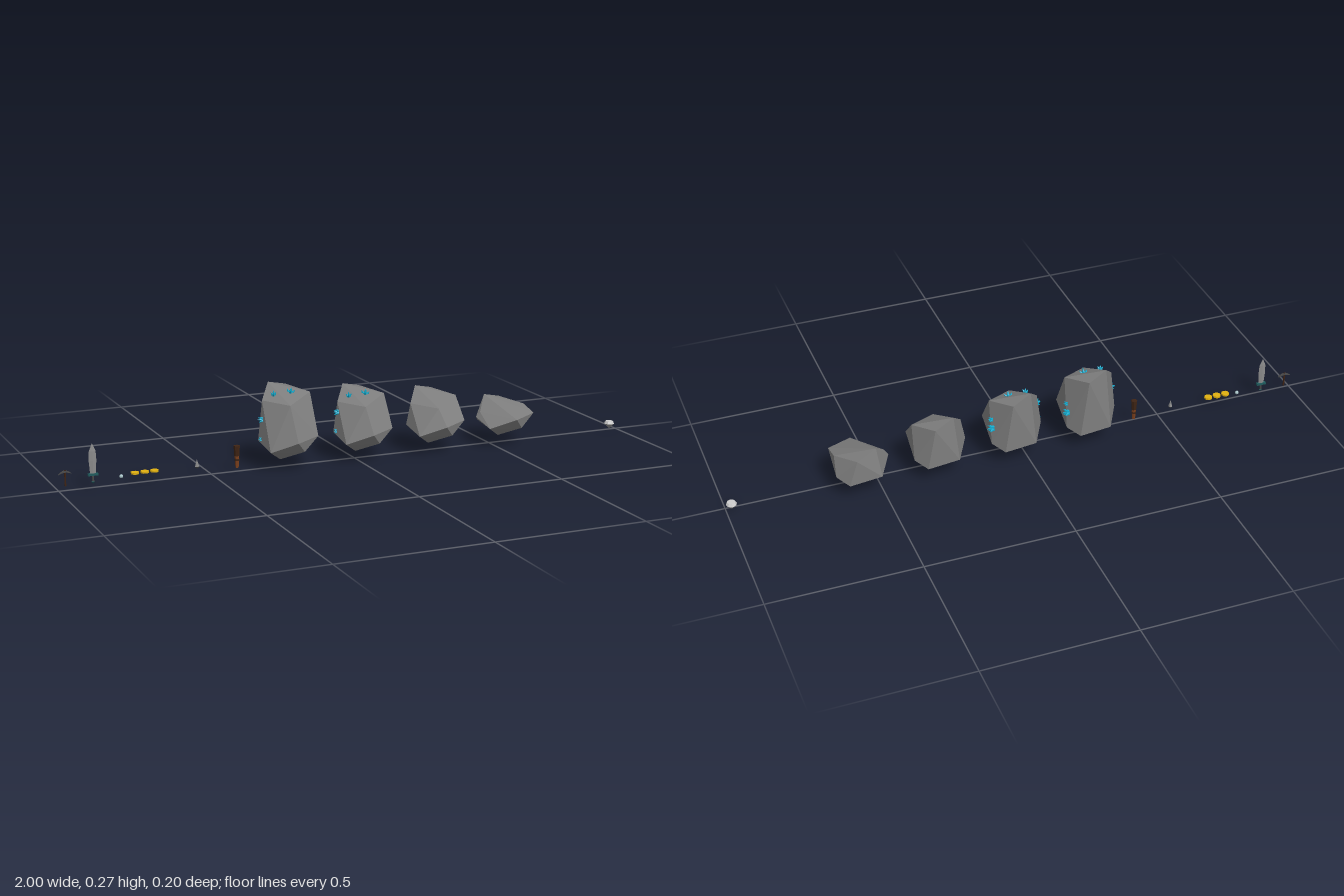
import * as THREE from 'three';
import { ConvexGeometry } from 'three/addons/geometries/ConvexGeometry.js';

const V = (x, y, z) => new THREE.Vector3(x, y, z);
const material = (color) => new THREE.MeshStandardMaterial({ color, flatShading: true });
const stone = material(0x7c7c7c), crystalBlue = material(0x0fa9cc), steel = material(0x8a8a8a);
const darkSteel = material(0x4a4a4a), wood = material(0x7a3f1c), darkWood = material(0x3f2414);
const gold = material(0xe0b010), teal = material(0x1f5a5c), pearl = material(0xa9c4c8), pale = material(0xcccccc);

function add(parent, name, geometry, mat, x = 0, y = 0, z = 0) {
  const mesh = new THREE.Mesh(geometry, mat);
  mesh.name = name;
  mesh.position.set(x, y, z);
  parent.add(mesh);
  return mesh;
}

function group(parent, name, x, y = 0, z = -0.008) {
  const g = new THREE.Group();
  g.name = name;
  g.position.set(x, y, z);
  parent.add(g);
  return g;
}

// Faceted boulder: a fixed base, with the crown lowered by "drop"
function rockGeometry(drop) {
  const base = [
    V(-0.04, 0.035, 0.04), V(0.03, 0.062, 0.08), V(0, 0.097, 0.102), V(0.085, 0.105, 0.06),
    V(-0.08, 0.064, 0.06), V(0.092, 0.068, -0.055), V(-0.093, 0.09, -0.02),
    V(0.06, 0.055, -0.1), V(-0.05, 0.06, -0.092)
  ];
  const crown = [
    V(-0.04, 0.27, -0.065), V(0.085, 0.237, -0.01), V(-0.01, 0.213, 0.057),
    V(-0.08, 0.222, -0.015), V(0.03, 0.252, -0.092)
  ];
  crown.forEach((p) => { p.y -= drop; });
  return new ConvexGeometry([...base, ...crown]);
}

// Cluster of short spikes fanning out around a direction
function crystalCluster(parent, position, direction, size) {
  const g = group(parent, 'crystalCluster', 0);
  g.position.copy(position);
  g.quaternion.setFromUnitVectors(V(0, 1, 0), direction.normalize());
  g.scale.setScalar(size);
  add(g, 'crystal', new THREE.ConeGeometry(0.008, 0.024, 5), crystalBlue, 0, 0.004, 0);
  for (let i = 0; i < 4; i++) {
    const a = i * Math.PI / 2 + 0.4;
    const c = add(g, 'crystal', new THREE.ConeGeometry(0.007, 0.018, 5), crystalBlue,
      Math.cos(a) * 0.009, 0.001, Math.sin(a) * 0.009);
    c.quaternion.setFromUnitVectors(V(0, 1, 0), V(Math.cos(a) * 0.6, 1, Math.sin(a) * 0.6).normalize());
  }
}

function rocks(root) {
  [[-0.238, 0, true], [0.026, 0.029, true], [0.291, 0.06, false], [0.553, 0.115, false]].forEach(([x, drop, ore]) => {
    const g = group(root, ore ? 'oreRock' : 'rock', x, 0, 0);
    add(g, 'boulder', rockGeometry(drop), stone);
    if (!ore) return;
    crystalCluster(g, V(-0.043, 0.243 - drop, -0.007), V(-0.2, 1, 0.3), 0.7);
    crystalCluster(g, V(0.018, 0.243 - drop, -0.012), V(0.1, 1, 0.3), 1);
    crystalCluster(g, V(-0.086, 0.16, -0.007), V(-1, 0.1, 0), 0.85);
    crystalCluster(g, V(-0.089, 0.096, -0.005), V(-1, 0, 0), 0.65);
    crystalCluster(g, V(0.088, 0.15, -0.035), V(1, 0.1, 0), 0.65);
    crystalCluster(g, V(0.09, 0.122, -0.045), V(1, 0, 0), 1);
  });
}

function pickaxe(root) {
  const g = group(root, 'pickaxe', -0.976);
  add(g, 'pickaxeHandle', new THREE.CylinderGeometry(0.0028, 0.0028, 0.052, 6), darkWood, 0, 0.038, 0);
  const s = new THREE.Shape();
  s.moveTo(-0.022, 0.05);
  s.quadraticCurveTo(0, 0.074, 0.022, 0.05);
  s.quadraticCurveTo(0, 0.062, -0.022, 0.05);
  add(g, 'pickaxeHead', new THREE.ExtrudeGeometry(s, { depth: 0.006, bevelEnabled: false, curveSegments: 5 }),
    darkSteel, 0, 0, -0.003);
}

function sword(root) {
  const g = group(root, 'sword', -0.887);
  // Blade with a diamond section and a pointed tip
  const sections = [[0.04, 0.009], [0.085, 0.0125], [0.115, 0.011], [0.139, 0.001]];
  const points = sections.flatMap(([y, w]) => [V(w, y, 0), V(-w, y, 0), V(0, y, w * 0.3), V(0, y, -w * 0.3)]);
  add(g, 'blade', new ConvexGeometry(points), steel);
  add(g, 'guard', new THREE.BoxGeometry(0.033, 0.007, 0.011), teal, 0, 0.04, 0);
  add(g, 'grip', new THREE.CylinderGeometry(0.0035, 0.0035, 0.024, 6), darkSteel, 0, 0.027, 0);
  add(g, 'pommel', new THREE.OctahedronGeometry(0.006), teal, 0, 0.016, 0);
}

function smallItems(root) {
  add(root, 'pearl', new THREE.IcosahedronGeometry(0.0065, 1), pearl, -0.796, 0.024, -0.008);
  // Three coins lying flat in a row
  for (let i = 0; i < 3; i++) {
    add(root, 'coin', new THREE.CylinderGeometry(0.0135, 0.0135, 0.006, 12), gold, -0.751 + i * 0.032, 0.03, -0.008);
  }
  const tip = group(root, 'spearTip', -0.545);
  add(tip, 'point', new THREE.ConeGeometry(0.0075, 0.024, 5), steel, 0, 0.04, 0);
  add(tip, 'socket', new THREE.CylinderGeometry(0.0075, 0.004, 0.005, 5), darkSteel, 0, 0.0255, 0);
}

function torch(root) {
  const g = group(root, 'torch', -0.409);
  add(g, 'torchHandle', new THREE.CylinderGeometry(0.0075, 0.0055, 0.04, 7), wood, 0, 0.03, 0);
  add(g, 'torchBand', new THREE.CylinderGeometry(0.0085, 0.0085, 0.006, 7), darkWood, 0, 0.036, 0);
  add(g, 'torchHead', new THREE.CylinderGeometry(0.0105, 0.0085, 0.034, 7), darkWood, 0, 0.066, 0);
}

function gem(root) {
  const g = group(root, 'gem', 0.98);
  add(g, 'gemCrown', new THREE.CylinderGeometry(0.0135, 0.018, 0.009, 8), pale, 0, 0.0225, 0);
  add(g, 'gemPavilion', new THREE.CylinderGeometry(0.018, 0.0005, 0.018, 8), steel, 0, 0.009, 0);
}

export function createModel() {
  const root = new THREE.Group();
  root.name = 'miningSet';
  [rocks, pickaxe, sword, smallItems, torch, gem].forEach((build) => build(root));
  return root;
}
